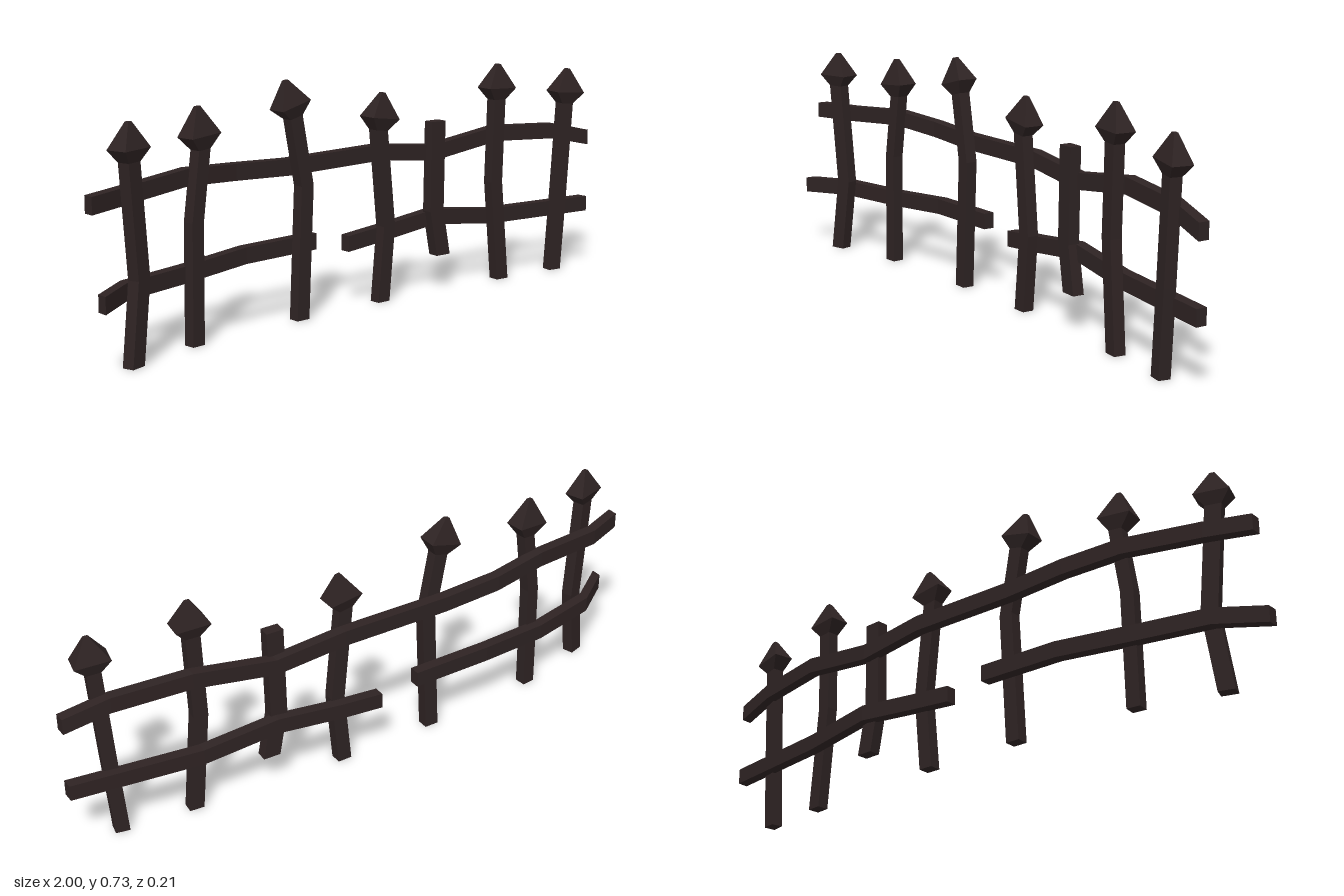
import * as THREE from 'three';

const wood = new THREE.MeshStandardMaterial({ color: 0x2e2323, flatShading: true });
wood.name = 'darkWood';

// Joins rectangular sections { p: centre, a, b: half-axis vectors } into a closed beam; a x b points along the beam.
function beam(name, sections) {
  const rings = sections.map(({ p, a, b }) =>
    [[-1, -1], [1, -1], [1, 1], [-1, 1]].map(([i, j]) =>
      p.clone().addScaledVector(a, i).addScaledVector(b, j)));
  const pos = [];
  const quad = (...q) => [0, 1, 2, 0, 2, 3].forEach(k => pos.push(...q[k].toArray()));
  for (let s = 0; s < rings.length - 1; s++) {
    for (let i = 0; i < 4; i++) {
      const j = (i + 1) % 4;
      quad(rings[s][i], rings[s][j], rings[s + 1][j], rings[s + 1][i]);
    }
  }
  quad(...[...rings[0]].reverse());
  quad(...rings[rings.length - 1]);
  const geo = new THREE.BufferGeometry();
  geo.setAttribute('position', new THREE.Float32BufferAttribute(pos, 3));
  geo.computeVertexNormals();
  const mesh = new THREE.Mesh(geo, wood);
  mesh.name = name;
  return mesh;
}

// Rail: follows [x, y, z] points
function rail(name, points) {
  return beam(name, points.map(([x, y, z]) => ({
    p: new THREE.Vector3(x, y, z),
    a: new THREE.Vector3(0, 0.025, 0),
    b: new THREE.Vector3(0, 0, 0.0175),
  })));
}

// Section of a picket, leaning sideways by the given angle
function slice(x, y, width, depth, lean) {
  return {
    p: new THREE.Vector3(x, y, 0),
    a: new THREE.Vector3(0, 0, depth / 2),
    b: new THREE.Vector3(Math.cos(lean), -Math.sin(lean), 0).multiplyScalar(width / 2),
  };
}

// Crooked picket: path is [x, y] points, tip is the spearhead point (if any)
function picket(name, { path, tip, z, yaw, width }) {
  const group = new THREE.Group();
  group.name = name;
  const x0 = path[1][0];
  const [tx, ty] = path[path.length - 1];
  const lean = tip ? Math.atan2(tip[0] - tx, tip[1] - ty) : 0;
  const depth = 0.037;
  group.add(beam('shaft', path.map(([x, y], i) =>
    slice(x - x0, y, width, depth, i === path.length - 1 ? lean : 0))));
  if (tip) {
    const at = (f, w, d) => slice(
      THREE.MathUtils.lerp(tx, tip[0], f) - x0, THREE.MathUtils.lerp(ty, tip[1], f), w, d, lean);
    group.add(beam('spearhead', [
      at(0, width, depth), at(0.33, 0.108, 0.065), at(1, 0.014, 0.012),
    ]));
  }
  group.position.set(x0, 0, z);
  group.rotation.y = yaw;
  return group;
}

export function createModel() {
  const fence = new THREE.Group();
  fence.name = 'fence';

  // Rails, the lower one broken in the middle
  fence.add(rail('topRail', [
    [-1, 0.468, 0.03], [-0.87, 0.468, -0.02], [-0.62, 0.486, -0.062], [-0.43, 0.474, -0.089],
    [-0.23, 0.465, -0.089], [0.13, 0.469, -0.087], [0.36, 0.445, -0.076], [0.62, 0.482, -0.055],
    [0.86, 0.47, -0.018], [1, 0.437, 0.005],
  ]));
  fence.add(rail('lowerRailRight', [
    [-1, 0.207, 0.083], [-0.87, 0.207, -0.008], [-0.64, 0.207, -0.058],
    [-0.4, 0.222, -0.085], [-0.13, 0.225, -0.087],
  ]));
  fence.add(rail('lowerRailLeft', [
    [0, 0.197, -0.087], [0.14, 0.21, -0.085], [0.36, 0.236, -0.076],
    [0.6, 0.208, -0.055], [1, 0.207, 0.005],
  ]));

  // Pickets from the model's right to its left
  const pickets = [
    { path: [[-0.875, 0], [-0.842, 0.24], [-0.872, 0.57]], tip: [-0.872, 0.68], z: 0.026, yaw: 0.3, width: 0.05 },
    { path: [[-0.62, 0], [-0.615, 0.36], [-0.585, 0.565]], tip: [-0.595, 0.688], z: -0.03, yaw: 0.1, width: 0.043 },
    { path: [[-0.215, 0], [-0.195, 0.41], [-0.235, 0.62]], tip: [-0.264, 0.731], z: -0.05, yaw: 0, width: 0.046 },
    { path: [[0.115, 0], [0.138, 0.24], [0.107, 0.545]], tip: [0.123, 0.661], z: -0.052, yaw: 0, width: 0.046 },
    { path: [[0.371, 0.113], [0.343, 0.26], [0.348, 0.55]], tip: null, z: -0.05, yaw: -0.05, width: 0.055 },
    { path: [[0.615, 0], [0.585, 0.33], [0.594, 0.6]], tip: [0.598, 0.715], z: -0.02, yaw: -0.1, width: 0.046 },
    { path: [[0.845, 0], [0.864, 0.26], [0.884, 0.565]], tip: [0.893, 0.68], z: 0.013, yaw: -0.2, width: 0.044 },
  ];
  pickets.forEach((p, i) => fence.add(picket(`picket${i + 1}`, p)));
  return fence;
}
